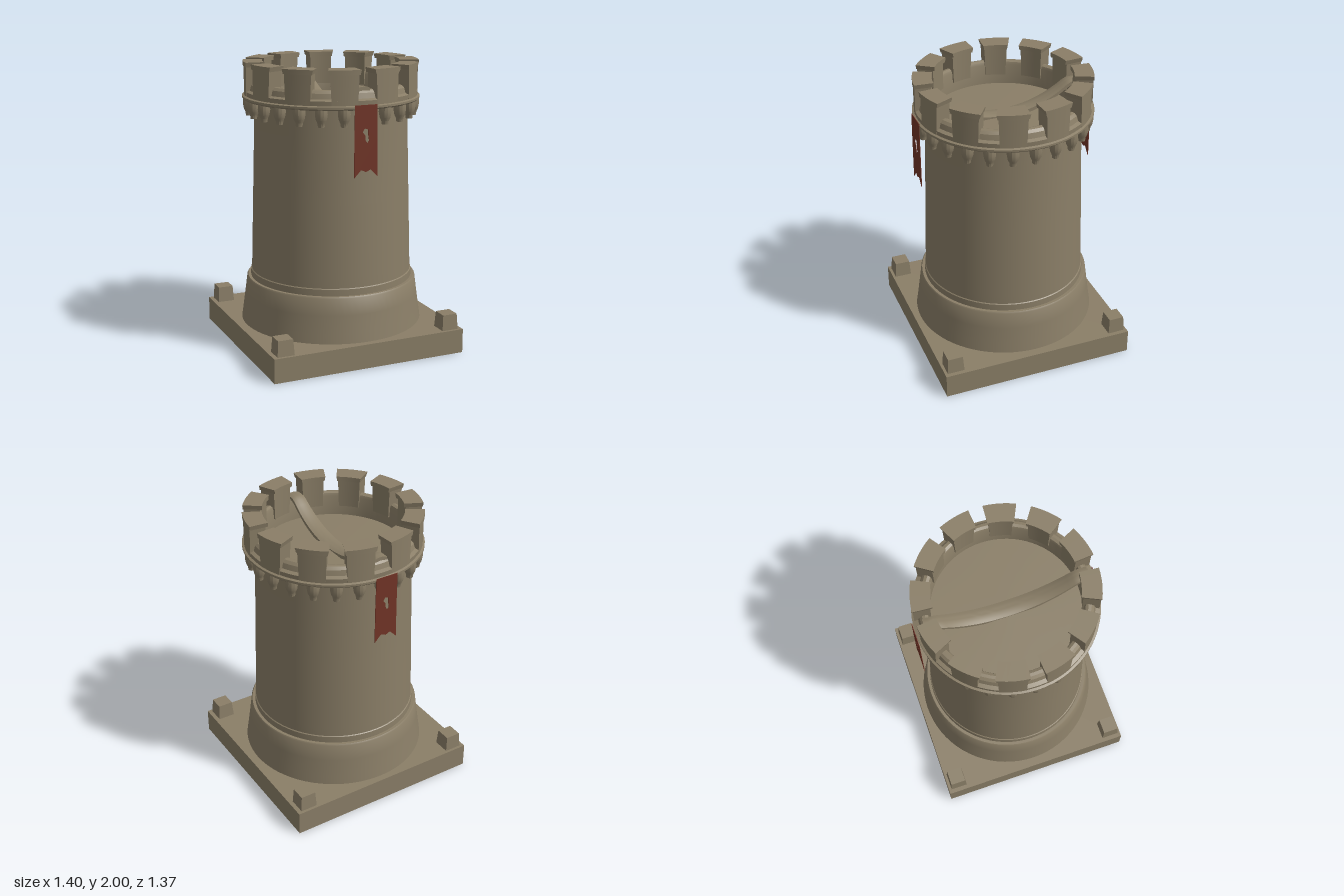
import * as THREE from 'three';
import { toCreasedNormals } from 'three/addons/utils/BufferGeometryUtils.js';

const stone = new THREE.MeshStandardMaterial({ color: 0x8a7e67, side: THREE.DoubleSide });
stone.name = 'stone';
const redCloth = new THREE.MeshStandardMaterial({ color: 0x713426, side: THREE.DoubleSide });
redCloth.name = 'redCloth';

// Moves every vertex by a rule, then keeps sharp edges crisp
function reshape(geometry, rule) {
  const p = geometry.attributes.position;
  const v = new THREE.Vector3();
  for (let i = 0; i < p.count; i++) {
    v.fromBufferAttribute(p, i);
    rule(v);
    p.setXYZ(i, v.x, v.y, v.z);
  }
  return toCreasedNormals(geometry, 0.6);
}

function lathe(points, segments = 72) {
  const profile = points.map(([r, y]) => new THREE.Vector2(r, y));
  return toCreasedNormals(new THREE.LatheGeometry(profile, segments), 0.5);
}

// Block bent around the tower axis: width is measured along the arc at radius 0.55
function arcBlock(bottomWidth, topWidth, rInner, rOuter, y0, y1) {
  const g = new THREE.BoxGeometry(1, 1, 1, 6, 1, 1);
  return reshape(g, (v) => {
    const t = v.y + 0.5;
    const angle = v.x * THREE.MathUtils.lerp(bottomWidth, topWidth, t) / 0.55;
    const r = THREE.MathUtils.lerp(rInner, rOuter, v.z + 0.5);
    v.set(Math.sin(angle) * r, THREE.MathUtils.lerp(y0, y1, t), Math.cos(angle) * r);
  });
}

// Swallow-tailed banner with a ragged keyhole cut through it
function bannerGeometry() {
  const shape = new THREE.Shape([
    [-0.08, 1.775], [-0.083, 1.55], [-0.083, 1.30], [-0.035, 1.35], [0, 1.335],
    [0.035, 1.35], [0.083, 1.30], [0.08, 1.55], [0.08, 1.775],
  ].map(([x, y]) => new THREE.Vector2(x, y)));
  shape.holes.push(new THREE.Path([
    [-0.025, 1.60], [-0.01, 1.622], [0.015, 1.615], [0.016, 1.575],
    [0.022, 1.54], [0.008, 1.525], [-0.004, 1.545], [-0.006, 1.575],
  ].map(([x, y]) => new THREE.Vector2(x, y))));
  return new THREE.ExtrudeGeometry(shape, { depth: 0.004, bevelEnabled: false });
}

export function createModel() {
  const model = new THREE.Group();
  model.name = 'castleTower';
  const add = (name, geometry, material = stone, parent = model) => {
    const mesh = new THREE.Mesh(geometry, material);
    mesh.name = name;
    parent.add(mesh);
    return mesh;
  };

  // Square plinth with a small tapered block at each corner
  add('plinth', new THREE.BoxGeometry(1.4, 0.17, 1.37)).position.y = 0.085;
  const blockGeometry = reshape(new THREE.BoxGeometry(0.12, 0.11, 0.12), (v) => {
    if (v.y > 0) { v.x *= 0.88; v.z *= 0.88; }
  });
  for (const x of [-0.61, 0.61]) {
    for (const z of [-0.605, 0.605]) add('cornerBlock', blockGeometry).position.set(x, 0.225, z);
  }

  // Flared foot, tapering shaft and roof floor
  add('foot', lathe([[0.64, 0.165], [0.63, 0.23], [0.612, 0.36], [0.597, 0.475], [0.59, 0.485], [0.565, 0.485]]));
  add('shaft', lathe([[0.57, 0.48], [0.568, 0.53], [0.562, 0.535], [0.56, 0.6], [0.545, 1.1], [0.53, 1.6], [0.53, 1.745]]));
  add('roofFloor', lathe([[0.5, 1.7], [0, 1.71]]));

  // Cornice rim and parapet with a rounded sill behind an outer ledge
  add('cornice', lathe([[0.52, 1.735], [0.6, 1.74], [0.611, 1.75], [0.611, 1.764], [0.595, 1.77]]));
  add('parapet', lathe([[0.595, 1.765], [0.597, 1.80], [0.572, 1.81], [0.562, 1.845],
    [0.545, 1.862], [0.525, 1.866], [0.507, 1.858], [0.5, 1.84], [0.493, 1.69]]));

  // Drop-shaped corbels beneath the cornice
  const corbels = new THREE.Group();
  corbels.name = 'corbels';
  model.add(corbels);
  const corbelGeometry = lathe([[0, 1.628], [0.022, 1.628], [0.025, 1.652], [0.036, 1.675],
    [0.042, 1.71], [0.04, 1.745]], 12);
  for (let i = 0; i < 24; i++) {
    const a = i * Math.PI / 12;
    add('corbel', corbelGeometry, stone, corbels).position.set(Math.sin(a) * 0.566, 0, Math.cos(a) * 0.566);
  }

  // Twelve merlons, each with an overhanging cap
  const merlonGeometry = arcBlock(0.16, 0.175, 0.486, 0.597, 1.77, 1.975);
  const capGeometry = arcBlock(0.185, 0.2, 0.472, 0.602, 1.968, 2.0);
  for (let i = 0; i < 12; i++) {
    const merlon = new THREE.Group();
    merlon.name = 'merlon';
    merlon.rotation.y = (i + 0.5) * Math.PI / 6;
    add('merlonBody', merlonGeometry, stone, merlon);
    add('merlonCap', capGeometry, stone, merlon);
    model.add(merlon);
  }

  // Sagging strip draped across the roof from sill to sill
  add('drapedStrip', reshape(new THREE.BoxGeometry(0.11, 0.025, 1.1, 6, 1, 32), (v) => {
    const d = Math.min(Math.abs(v.z) / 0.47, 1);
    v.y += 1.712 + 0.16 * Math.pow(d, 2.2) - 3 * v.x * v.x;
    v.x = v.x * (1 - 0.18 * d * d) - 0.01;
  }));

  // Banners hanging on the front and back
  const cloth = bannerGeometry();
  const front = add('frontBanner', cloth, redCloth);
  front.position.set(-0.02, 0, 0.608);
  const back = add('backBanner', cloth, redCloth);
  back.position.set(-0.015, 0, -0.612);
  back.rotation.y = Math.PI;

  return model;
}
